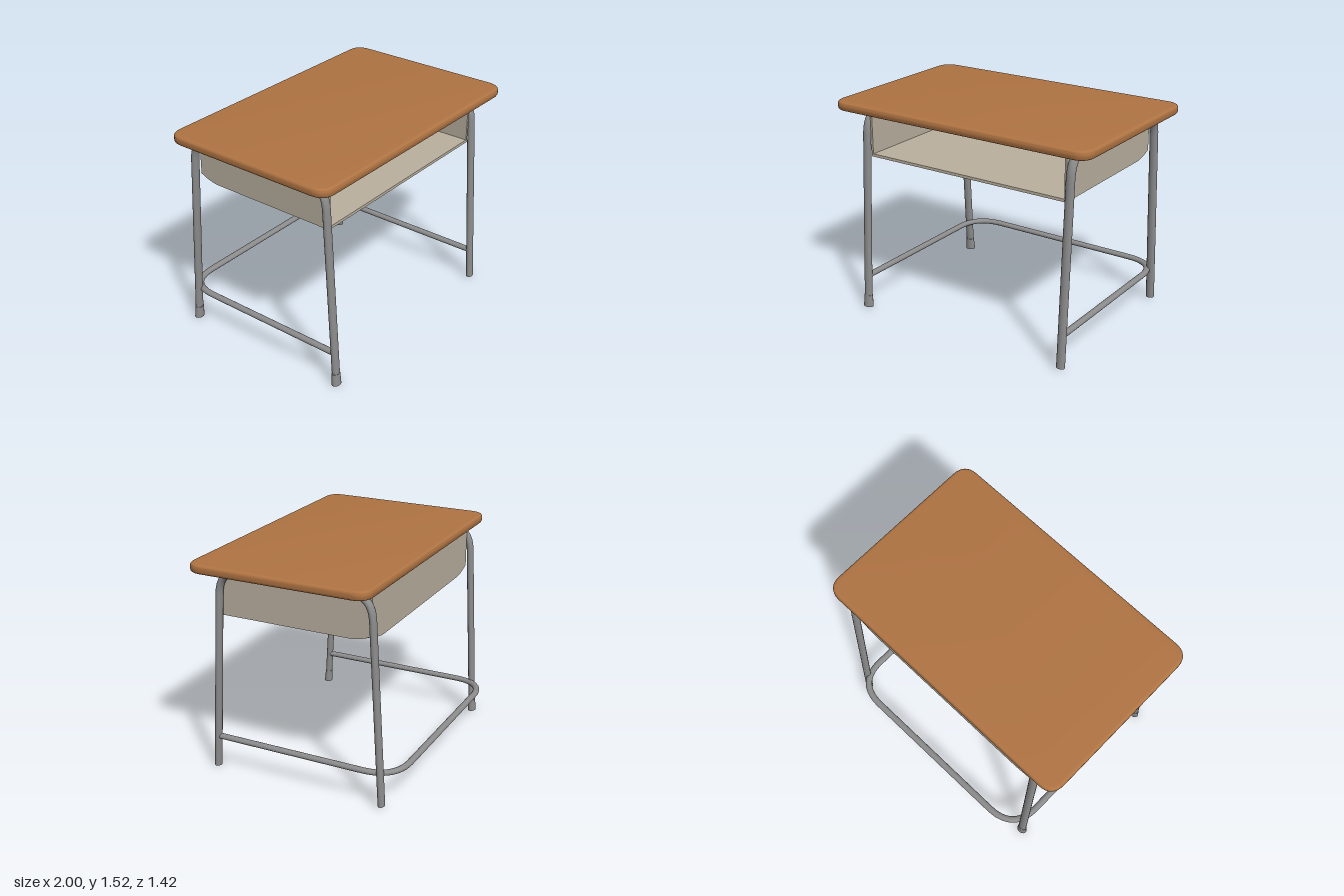
import * as THREE from 'three';
import { toCreasedNormals } from 'three/addons/utils/BufferGeometryUtils.js';

const V = (x, y, z) => new THREE.Vector3(x, y, z);

export function createModel() {
  const model = new THREE.Group();
  model.name = 'schoolDesk';
  const material = (name, color) => {
    const m = new THREE.MeshStandardMaterial({ color });
    m.name = name;
    return m;
  };
  const wood = material('wood', 0xb07443);
  const steel = material('steel', 0x8c8c8c);
  const beige = material('beigeTray', 0xbab09f);

  const add = (parent, name, geometry, mat) => {
    const mesh = new THREE.Mesh(geometry, mat);
    mesh.name = name;
    parent.add(mesh);
    return mesh;
  };

  // Tube path of straight runs joined by quadratic bends: [start, end, control, start, end, ...]
  const bentTube = (p, radius) => {
    const path = new THREE.CurvePath();
    path.add(new THREE.LineCurve3(p[0], p[1]));
    for (let i = 1; i + 3 < p.length; i += 3) {
      path.add(new THREE.QuadraticBezierCurve3(p[i], p[i + 1], p[i + 2]));
      path.add(new THREE.LineCurve3(p[i + 2], p[i + 3]));
    }
    return new THREE.TubeGeometry(path, 140, radius, 16);
  };

  // Tabletop: rounded rectangle with a softened rim
  const bevel = 0.02, hw = 1 - bevel, hd = 0.64 - bevel, r = 0.09;
  const top = new THREE.Shape();
  top.moveTo(-hw + r, -hd);
  top.lineTo(hw - r, -hd);
  top.quadraticCurveTo(hw, -hd, hw, -hd + r);
  top.lineTo(hw, hd - r);
  top.quadraticCurveTo(hw, hd, hw - r, hd);
  top.lineTo(-hw + r, hd);
  top.quadraticCurveTo(-hw, hd, -hw, hd - r);
  top.lineTo(-hw, -hd + r);
  top.quadraticCurveTo(-hw, -hd, -hw + r, -hd);
  const topGeo = new THREE.ExtrudeGeometry(top, {
    depth: 0.022, bevelThickness: 0.02, bevelSize: bevel, bevelSegments: 4, curveSegments: 8,
  });
  topGeo.rotateX(-Math.PI / 2).translate(0, 1.479, 0.07);
  add(model, 'tabletop', toCreasedNormals(topGeo, 0.6), wood);

  // Side frames: an arched, slightly oval tube on each side
  for (const side of [-1, 1]) {
    const frame = new THREE.Group();
    frame.name = side > 0 ? 'leftFrame' : 'rightFrame';
    frame.position.x = side * 0.815;
    frame.scale.x = 1.3;
    model.add(frame);
    const foot = 0.015;
    add(frame, 'legTube', bentTube([
      V(0, foot, 0.655), V(0, 1.28, 0.578), V(0, 1.432, 0.568), V(0, 1.432, 0.45),
      V(0, 1.432, -0.4), V(0, 1.432, -0.518), V(0, 1.28, -0.527), V(0, foot, -0.595),
    ], 0.0235), steel);
    for (const [z, tilt] of [[0.655, -0.06], [-0.595, 0.053]]) {
      const end = add(frame, 'tubeEnd', new THREE.CircleGeometry(0.0235, 16), steel);
      end.rotation.x = Math.PI / 2;
      end.position.set(0, foot, z);
      // Flared foot sleeves, on the right frame only
      if (side < 0) {
        const sleeve = add(frame, 'footSleeve', new THREE.CylinderGeometry(0.0255, 0.029, 0.087, 20), steel);
        sleeve.position.set(0, 0.045, z + tilt * 0.045);
        sleeve.rotation.x = tilt;
      }
    }
  }

  // Foot rail: runs back along both sides and bows out behind the rear legs
  const rail = add(model, 'footRail', bentTube([
    V(-0.812, 0, 0.635), V(-0.812, 0, -0.45), V(-0.812, 0, -0.687), V(-0.57, 0, -0.687),
    V(0.57, 0, -0.687), V(0.812, 0, -0.687), V(0.812, 0, -0.45), V(0.812, 0, 0.635),
  ], 0.0235), steel);
  rail.scale.y = 0.82;
  rail.position.y = 0.238;

  // Book tray: open-fronted box whose bottom lifts towards the rear corners
  const tray = new THREE.Group();
  tray.name = 'bookTray';
  model.add(tray);
  const floorY = 1.125, ceilY = 1.462, front = 0.573, back = -0.508, halfW = 0.785, t = 0.015;
  const rise = (x, z) => {
    const a = Math.max(0, (Math.abs(x) - 0.6) / 0.185);
    const b = Math.max(0, (-0.345 - z) / 0.163);
    return 0.042 * Math.max(0, a + b - 1) ** 2;
  };
  const panel = (name, x0, x1, y0, y1, z0, z1, sx, sz) => {
    const g = new THREE.BoxGeometry(x1 - x0, y1 - y0, z1 - z0, sx, 1, sz);
    g.translate((x0 + x1) / 2, (y0 + y1) / 2, (z0 + z1) / 2);
    const p = g.attributes.position;
    for (let i = 0; i < p.count; i++) {
      if (p.getY(i) < 1.3) p.setY(i, p.getY(i) + rise(p.getX(i), p.getZ(i)));
    }
    add(tray, name, toCreasedNormals(g, 0.5), beige);
  };
  panel('trayFloor', -halfW, halfW, floorY, floorY + 0.02, back, front, 64, 44);
  panel('trayBack', -halfW, halfW, floorY, ceilY, back, back + t, 64, 1);
  panel('traySideRight', -halfW, -halfW + t, floorY, ceilY, back, front, 1, 44);
  panel('traySideLeft', halfW - t, halfW, floorY, ceilY, back, front, 1, 44);

  return model;
}
